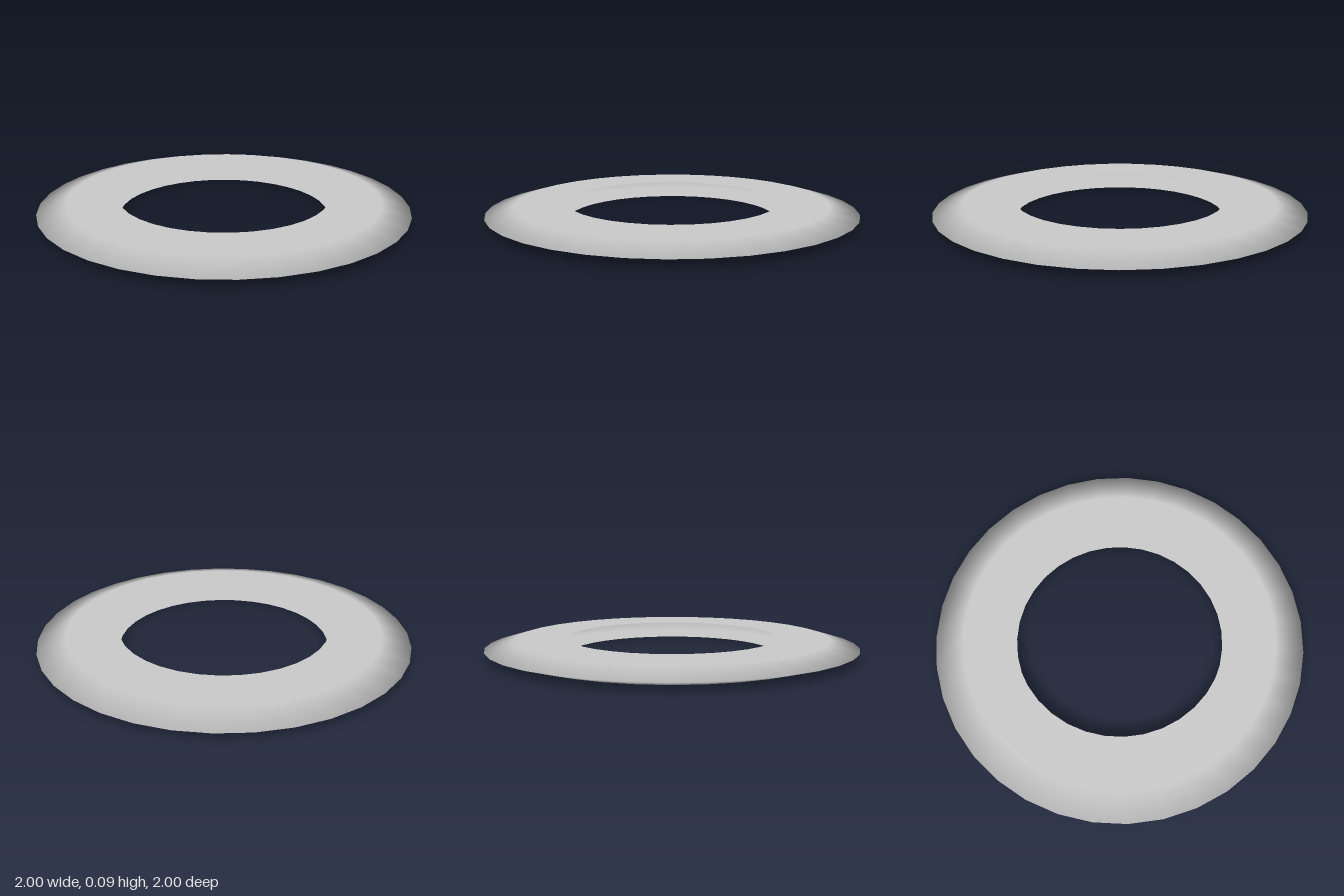
import * as THREE from 'three';

const SIDES = 35;
const HEIGHT = 0.088;
const HOLE_RADIUS = 0.566;
const FLAT_RADIUS = 0.845;
const RIM_RADIUS = 1.001;

export function createModel() {
  const group = new THREE.Group();
  group.name = 'flatRing';

  // Hollow shell: lower face, thin outer rim, upper face; open at the hole
  const profile = [
    new THREE.Vector2(HOLE_RADIUS, 0),
    new THREE.Vector2(FLAT_RADIUS, 0),
    new THREE.Vector2(RIM_RADIUS, HEIGHT / 2),
    new THREE.Vector2(FLAT_RADIUS, HEIGHT),
    new THREE.Vector2(HOLE_RADIUS, HEIGHT),
  ];
  const geometry = new THREE.LatheGeometry(profile, SIDES, Math.PI / 2);

  // Faces stay evenly flat; the bevel shades smoothly round to the rim
  const position = geometry.attributes.position;
  const normal = geometry.attributes.normal;
  for (let i = 0; i < position.count; i++) {
    const ring = i % profile.length;
    if (ring === 2) {
      normal.setXYZ(i, position.getX(i) / RIM_RADIUS, 0, position.getZ(i) / RIM_RADIUS);
    } else {
      normal.setXYZ(i, 0, ring < 2 ? -1 : 1, 0);
    }
  }

  // Centre the odd-sided outline on x = 0
  geometry.translate(-0.002, 0, 0);

  const material = new THREE.MeshStandardMaterial({ color: 0xcccccc, side: THREE.DoubleSide });
  const ring = new THREE.Mesh(geometry, material);
  ring.name = 'ringShell';
  group.add(ring);
  return group;
}
